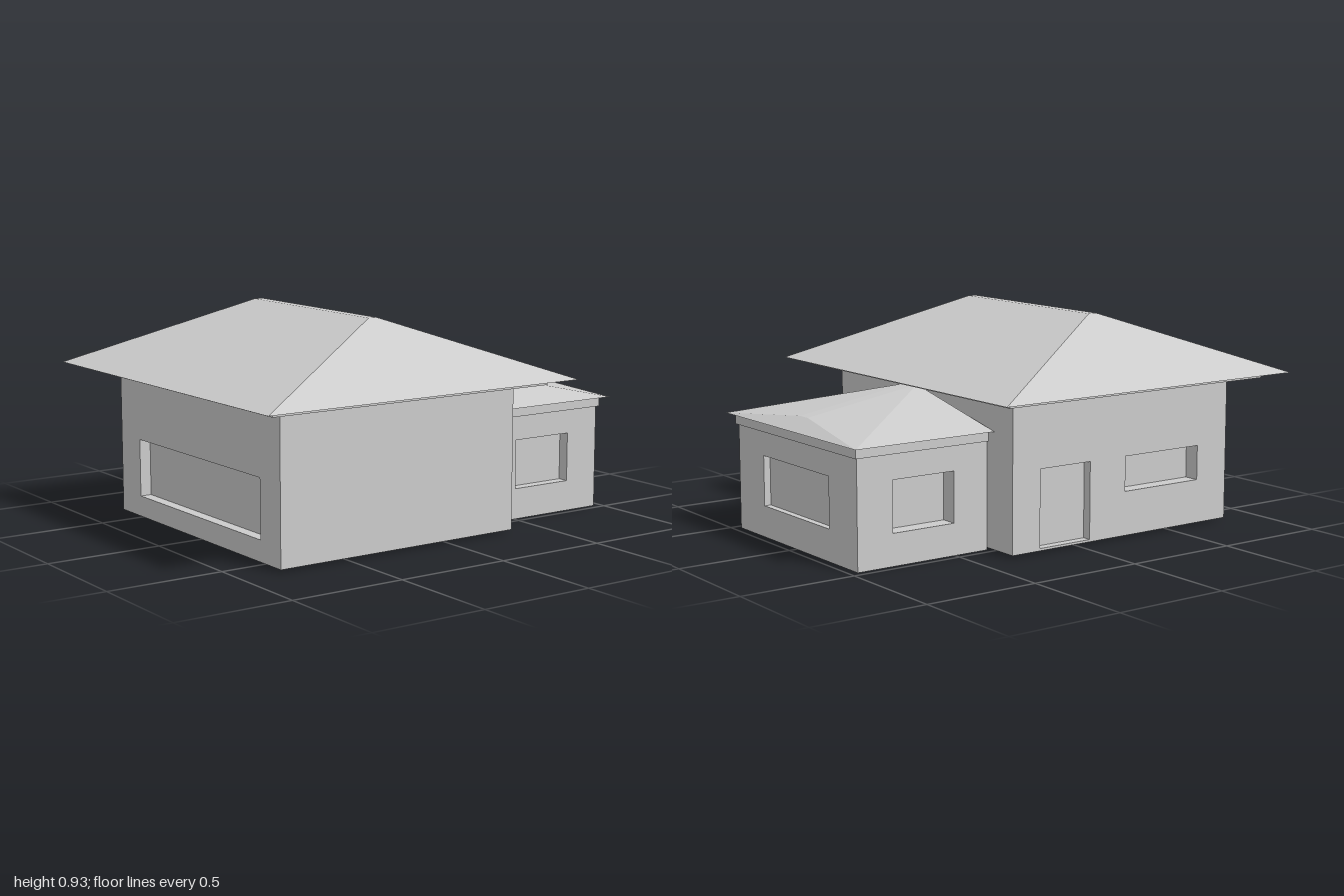
import * as THREE from 'three';
import { ConvexGeometry } from 'three/addons/geometries/ConvexGeometry.js';

const material = new THREE.MeshStandardMaterial({ color: 0xcccccc, flatShading: true });
const T = 0.08; // wall thickness

function add(parent, name, geometry, x = 0, y = 0, z = 0) {
  const mesh = new THREE.Mesh(geometry, material);
  mesh.name = name;
  mesh.position.set(x, y, z);
  parent.add(mesh);
  return mesh;
}

// Box given by its limits
function block(parent, name, [x0, x1], [y0, y1], [z0, z1]) {
  return add(parent, name, new THREE.BoxGeometry(x1 - x0, y1 - y0, z1 - z0),
    (x0 + x1) / 2, (y0 + y1) / 2, (z0 + z1) / 2);
}

// Wall in its own frame: outer face on z = 0, openings are [u0, u1, y0, y1, depth]
function wall(parent, name, [u0, u1], [y0, y1], openings = []) {
  const group = new THREE.Group();
  group.name = name;
  const rect = (path, a, b, c, d) =>
    path.moveTo(a, c).lineTo(b, c).lineTo(b, d).lineTo(a, d).closePath();
  const shape = rect(new THREE.Shape(), u0, u1, y0, y1);
  for (const [a, b, c, d, depth] of openings) {
    shape.holes.push(rect(new THREE.Path(), a, b, c, d));
    block(group, 'pane', [a, b], [c, d], [-T - 0.02, -depth]);
  }
  add(group, 'wallPanel', new THREE.ExtrudeGeometry(shape, { depth: T, bevelEnabled: false }), 0, 0, -T);
  parent.add(group);
  return group;
}

// Solid hull with each x given mirrored to the other side
function hull(parent, name, points) {
  const all = points.flatMap(([x, y, z]) => [new THREE.Vector3(x, y, z), new THREE.Vector3(-x, y, z)]);
  return add(parent, name, new ConvexGeometry(all));
}

function createMainHouse() {
  const house = new THREE.Group();
  house.name = 'mainHouse';
  const W = 0.643, F = 0.82, B = -0.34, h = [0.01, 0.64];

  wall(house, 'frontWall', [-W, W], h, [[-0.48, 0.495, 0.1, 0.35, 0.05]]).position.z = F;

  const back = wall(house, 'backWall', [-W, W], h);
  back.rotation.y = Math.PI;
  back.position.z = B;

  // Left side is plain; its own u axis runs along -z
  const left = wall(house, 'leftWall', [-F + T, -B - T], h);
  left.rotation.y = Math.PI / 2;
  left.position.x = W;

  // Right side carries the door and a window; its u axis runs along +z
  const right = wall(house, 'rightWall', [B + T, F - T], h, [
    [-0.2, 0.06, 0.02, 0.35, 0.04],
    [0.25, 0.655, 0.2, 0.35, 0.07],
  ]);
  right.rotation.y = -Math.PI / 2;
  right.position.x = -W;

  block(house, 'floor', [-W + 0.01, W - 0.01], [0.01, 0.018], [B + 0.01, F - 0.01]);
  block(house, 'cornice', [-0.75, 0.75], [0.635, 0.663], [-0.435, 0.92]);

  // Hipped roof with a narrow flat ridge
  hull(house, 'mainRoof', [
    [0.845, 0.662, -0.52], [0.845, 0.662, 1],
    [0.435, 0.932, 0.215], [0.435, 0.932, 0.255],
  ]);
  return house;
}

function createAnnex() {
  const annex = new THREE.Group();
  annex.name = 'rearAnnex';
  const W = 0.47, F = -0.34, B = -0.965, h = [0, 0.46];

  const back = wall(annex, 'annexBackWall', [-W, W], h, [[-0.26, 0.26, 0.135, 0.35, 0.03]]);
  back.rotation.y = Math.PI;
  back.position.z = B;

  const left = wall(annex, 'annexLeftWall', [-F, -B - T], h, [[0.505, 0.8, 0.135, 0.35, 0.05]]);
  left.rotation.y = Math.PI / 2;
  left.position.x = W;

  const right = wall(annex, 'annexRightWall', [B + T, F], h, [[-0.8, -0.505, 0.135, 0.35, 0.075]]);
  right.rotation.y = -Math.PI / 2;
  right.position.x = -W;

  block(annex, 'annexFloor', [-W + 0.01, W - 0.01], [0, 0.012], [B + 0.01, F]);
  block(annex, 'annexCornice', [-0.48, 0.48], [0.455, 0.502], [-0.975, F]);

  // Roof rising towards the house, with a small hip at each end
  hull(annex, 'annexRoof', [
    [0.52, 0.5, -1], [0.52, 0.5, F],
    [0.03, 0.547, -0.92], [0.03, 0.635, -0.385], [0.2, 0.565, F],
  ]);
  return annex;
}

export function createModel() {
  const model = new THREE.Group();
  model.name = 'house';
  model.add(createMainHouse(), createAnnex());
  return model;
}
